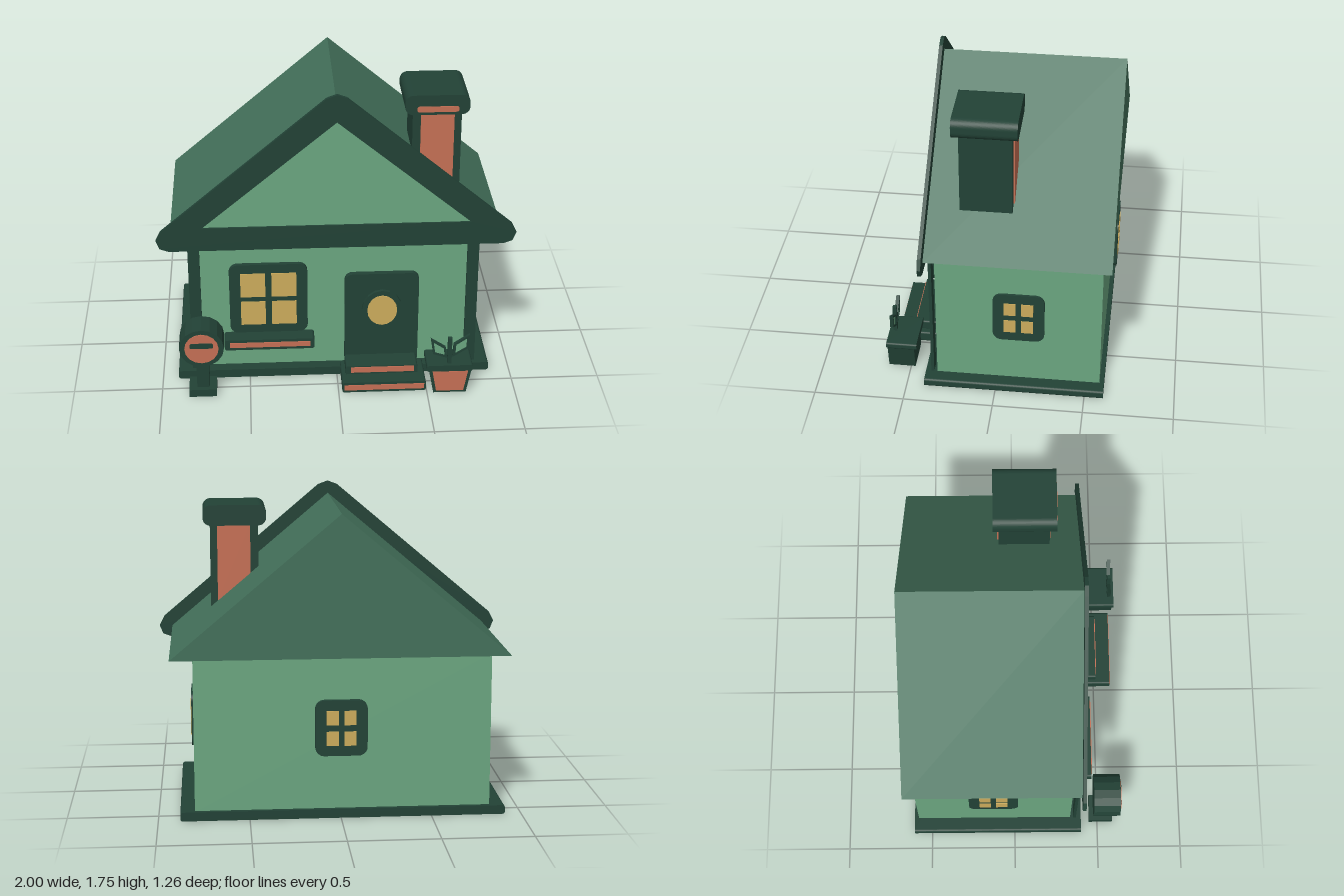
import * as THREE from 'three';

const mat = (name, color) => {
  const m = new THREE.MeshStandardMaterial({ color });
  m.name = name;
  return m;
};

export function createModel() {
  const house = new THREE.Group();
  house.name = 'house';
  const trim = mat('darkGreenTrim', 0x224236);
  const wall = mat('wallGreen', 0x6ba680);
  const roofMat = mat('roofGreen', 0x43705a);
  const clay = mat('terracotta', 0xc67055);
  const glass = mat('warmYellow', 0xcdac5c);

  const add = (name, geo, material, parent = house) => {
    const m = new THREE.Mesh(geo, material);
    m.name = name;
    parent.add(m);
    return m;
  };
  // box given by its limits on each axis
  const box = (name, material, x0, x1, y0, y1, z0, z1, parent) => {
    const g = new THREE.BoxGeometry(x1 - x0, y1 - y0, z1 - z0);
    g.translate((x0 + x1) / 2, (y0 + y1) / 2, (z0 + z1) / 2);
    return add(name, g, material, parent);
  };
  // shape in the xy plane, extruded from z0 to z1
  const plate = (name, material, shape, z0, z1, parent) => {
    const g = new THREE.ExtrudeGeometry(shape, { depth: z1 - z0, bevelEnabled: false, curveSegments: 8 });
    g.translate(0, 0, z0);
    return add(name, g, material, parent);
  };
  const poly = (pts) => new THREE.Shape(pts.map(([x, y]) => new THREE.Vector2(x, y)));
  const rounded = (x0, x1, y0, y1, r) => {
    const s = new THREE.Shape();
    s.absarc(x1 - r, y0 + r, r, -Math.PI / 2, 0);
    s.absarc(x1 - r, y1 - r, r, 0, Math.PI / 2);
    s.absarc(x0 + r, y1 - r, r, Math.PI / 2, Math.PI);
    s.absarc(x0 + r, y0 + r, r, Math.PI, Math.PI * 1.5);
    s.closePath();
    return s;
  };
  const oval = (x, y, rx, ry) => {
    const s = new THREE.Shape();
    s.absellipse(x, y, rx, ry, 0, Math.PI * 2);
    return s;
  };

  // Base slab, walls and corner posts
  plate('baseSlab', trim, rounded(-0.91, 0.88, 0, 0.05, 0.015), -0.605, 0.4);
  box('walls', wall, -0.825, 0.8, 0.045, 0.91, -0.58, 0.335);
  box('leftCornerPost', trim, 0.735, 0.8, 0.05, 0.9, 0.353, 0.37);
  box('rightCornerPost', trim, -0.83, -0.765, 0.05, 0.9, 0.353, 0.37);

  // Roof prism and front gable
  plate('roof', roofMat, poly([[-0.925, 0.9], [0.925, 0.9], [0, 1.68]]), -0.63, 0.375);
  const half = [[0.93, 0.832], [0.98, 0.85], [1, 0.9], [0.972, 0.955], [0.055, 1.73]];
  const gable = poly([...half, [0, 1.75], ...half.map(([x, y]) => [-x, y]).reverse()]);
  const tri = [[-0.745, 0.972], [0.745, 0.972], [0, 1.592]];
  gable.holes.push(poly(tri));
  plate('gableFrame', trim, gable, 0.375, 0.395);
  plate('gablePanel', wall, poly(tri), 0.376, 0.385);

  // Chimney with clay panels and rounded cap
  box('chimneyStack', trim, 0.425, 0.695, 1, 1.57, -0.08, 0.205);
  box('chimneyFrontPanel', clay, 0.47, 0.655, 1.1, 1.555, 0.205, 0.21);
  box('chimneyBackPanel', clay, 0.47, 0.655, 1.13, 1.555, -0.088, -0.08);
  plate('chimneyCap', trim, rounded(0.38, 0.735, 1.555, 1.67, 0.045), -0.11, 0.24);
  plate('chimneyCapStripe', clay, rounded(0.445, 0.675, 1.572, 1.605, 0.015), 0.24, 0.244);

  // Window facing +z around its own centre: rounded frame with four panes
  const makeWindow = (name, w, h, depth, paneW, paneH, gapX, gapY) => {
    const g = new THREE.Group();
    g.name = name;
    plate('windowFrame', trim, rounded(-w / 2, w / 2, -h / 2, h / 2, 0.05), 0, depth, g);
    for (const sx of [-1, 1]) for (const sy of [-1, 1]) {
      const x = sx * (gapX + paneW) / 2, y = sy * (gapY + paneH) / 2;
      box('windowPane', glass, x - paneW / 2, x + paneW / 2, y - paneH / 2, y + paneH / 2, depth, depth + 0.004, g);
    }
    house.add(g);
    return g;
  };
  makeWindow('frontWindow', 0.44, 0.44, 0.025, 0.14, 0.15, 0.035, 0.03).position.set(-0.385, 0.503, 0.35);
  const small = [0.285, 0.31, 0.026, 0.066, 0.08, 0.03, 0.035];
  const leftWindow = makeWindow('leftWindow', ...small);
  leftWindow.position.set(0.788, 0.48, -0.125);
  leftWindow.rotation.y = Math.PI / 2;
  const rightWindow = makeWindow('rightWindow', ...small);
  rightWindow.position.set(-0.815, 0.48, -0.125);
  rightWindow.rotation.y = -Math.PI / 2;
  const backWindow = makeWindow('backWindow', ...small);
  backWindow.position.set(0, 0.513, -0.6);
  backWindow.rotation.y = Math.PI;

  // Front window sill
  plate('windowSill', trim, rounded(-0.64, -0.13, 0.22, 0.285, 0.015), 0.365, 0.46);
  box('sillStripe', clay, -0.61, -0.155, 0.238, 0.268, 0.46, 0.465);

  // Door with an oval light
  plate('door', trim, rounded(0.045, 0.465, 0.05, 0.65, 0.045), 0.353, 0.385);
  plate('doorLightFrame', trim, oval(0.255, 0.437, 0.115, 0.125), 0.405, 0.424);
  plate('doorLightGlass', glass, oval(0.255, 0.437, 0.085, 0.095), 0.424, 0.429);

  // Two steps with clay risers
  plate('upperStep', trim, rounded(0.045, 0.455, 0.06, 0.12, 0.012), 0.37, 0.51);
  box('upperStepStripe', clay, 0.075, 0.435, 0.08, 0.114, 0.51, 0.515);
  plate('lowerStep', trim, rounded(0.02, 0.495, 0.005, 0.068, 0.012), 0.37, 0.6);
  box('lowerStepStripe', clay, 0.032, 0.485, 0.02, 0.053, 0.6, 0.604);

  // Letter box: drum on a post with a foot
  plate('letterBoxDrum', trim, oval(-0.765, 0.338, 0.125, 0.118), 0.465, 0.62);
  plate('letterBoxFace', clay, oval(-0.765, 0.338, 0.095, 0.092), 0.62, 0.625);
  plate('letterBoxSlot', trim, rounded(-0.83, -0.7, 0.343, 0.375, 0.012), 0.625, 0.629);
  box('letterBoxPost', trim, -0.8, -0.73, 0.03, 0.25, 0.48, 0.56);
  box('letterBoxFoot', trim, -0.845, -0.69, 0, 0.045, 0.45, 0.59);

  // Flower pot
  plate('potBody', trim, poly([[0.535, 0.005], [0.72, 0.005], [0.748, 0.15], [0.508, 0.15]]), 0.475, 0.626);
  plate('potFrontPanel', clay, poly([[0.55, 0.018], [0.705, 0.018], [0.728, 0.145], [0.527, 0.145]]), 0.626, 0.63);
  plate('potRim', trim, rounded(0.495, 0.755, 0.148, 0.186, 0.012), 0.46, 0.632);

  // Plant: stem and two outlined leaves
  box('plantStem', trim, 0.612, 0.635, 0.18, 0.352, 0.588, 0.61);
  const leaves = [
    [[0.61, 0.222], [0.6, 0.29], [0.515, 0.347], [0.53, 0.25]],
    [[0.64, 0.228], [0.73, 0.285], [0.733, 0.37], [0.645, 0.31]],
  ];
  leaves.forEach((pts) => {
    const cx = pts.reduce((a, p) => a + p[0], 0) / 4, cy = pts.reduce((a, p) => a + p[1], 0) / 4;
    const inner = pts.map(([x, y]) => [cx + (x - cx) * 0.68, cy + (y - cy) * 0.68]);
    const outline = poly(pts);
    outline.holes.push(poly(inner));
    plate('leafOutline', trim, outline, 0.588, 0.608);
    plate('leafBlade', wall, poly(inner), 0.594, 0.602);
  });

  return house;
}
